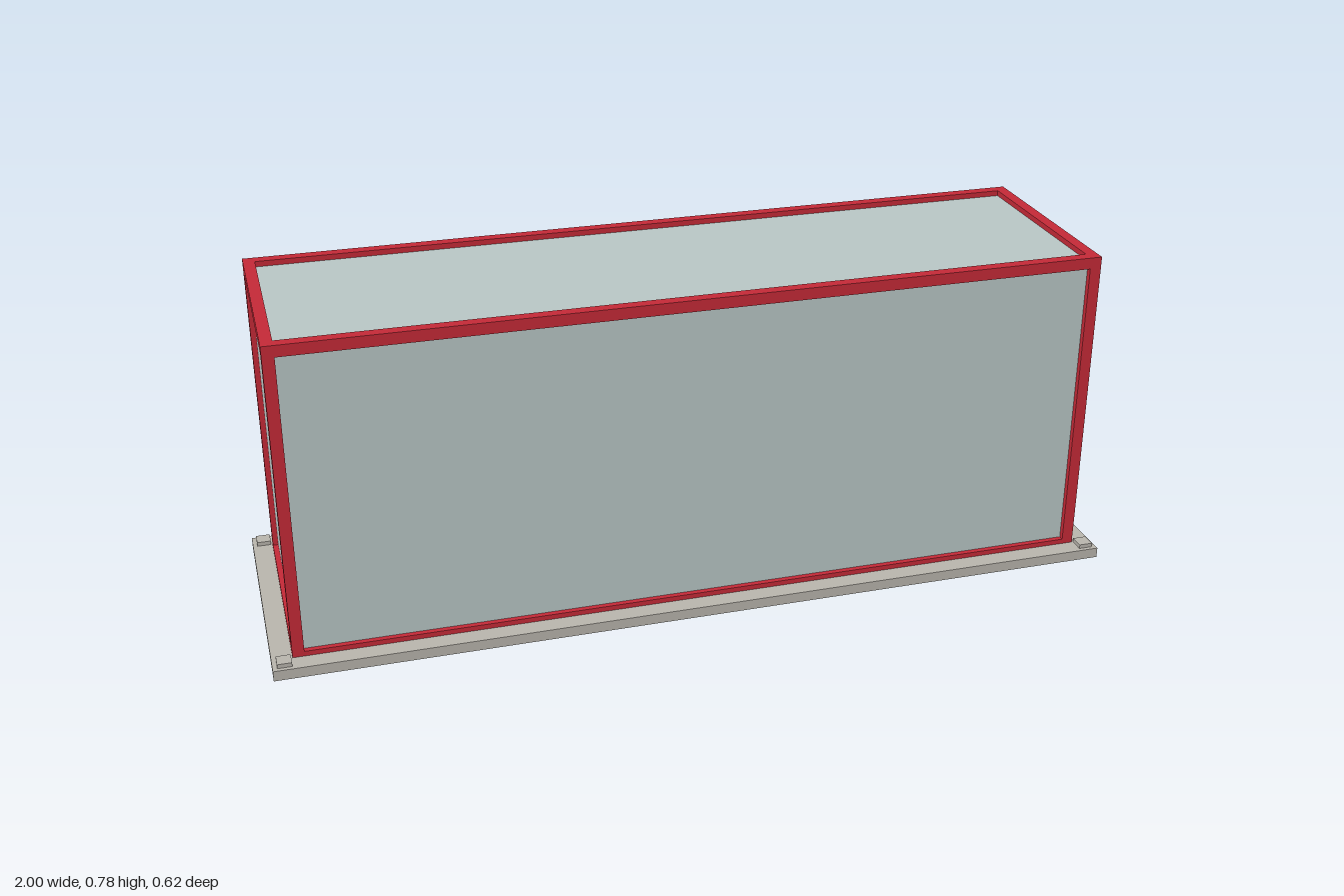
import * as THREE from 'three';

export function createModel() {
  const model = new THREE.Group();
  model.name = 'displayCase';
  const material = (name, color) => {
    const m = new THREE.MeshStandardMaterial({ color });
    m.name = name;
    return m;
  };
  const stone = material('stone', 0xbab6ae);
  const red = material('red frame', 0xc62a38);
  const glass = material('pale glass', 0xbac8c7);

  const box = (name, mat, size, pos, parent = model) => {
    const mesh = new THREE.Mesh(new THREE.BoxGeometry(...size), mat);
    mesh.name = name;
    mesh.position.set(...pos);
    parent.add(mesh);
  };

  const X = 0.953, Z = 0.265, TOP = 0.777; // outer frame extents
  const BASE = 0.025, BAR = 0.027, LOW = 0.012; // slab height, bar widths
  const INSET = 0.013; // glass set back from the frame face

  // Base slab
  box('base', stone, [2, BASE, 0.62], [0, BASE / 2, 0]);

  // Glass body
  box('glassPanels', glass, [2 * (X - INSET), TOP - INSET - BASE, 2 * (Z - INSET)],
    [0, (TOP - INSET + BASE) / 2, 0]);

  // Red edge bars: posts, then top and bottom rails between them
  const frame = new THREE.Group();
  frame.name = 'frame';
  model.add(frame);
  const rails = [['topRail', TOP - BAR / 2, BAR], ['bottomRail', BASE + LOW / 2, LOW]];
  for (const s of [-1, 1]) {
    for (const t of [-1, 1]) {
      box('cornerPost', red, [BAR, TOP - BASE, BAR],
        [s * (X - BAR / 2), (TOP + BASE) / 2, t * (Z - BAR / 2)], frame);
      // Small pads on the base corners
      box('cornerPad', stone, [0.033, 0.01, 0.035], [s * 0.973, BASE + 0.005, t * 0.2825]);
    }
    for (const [name, y, h] of rails) {
      box(name, red, [2 * (X - BAR), h, BAR], [0, y, s * (Z - BAR / 2)], frame);
      box(name, red, [BAR, h, 2 * (Z - BAR)], [s * (X - BAR / 2), y, 0], frame);
    }
  }
  return model;
}
